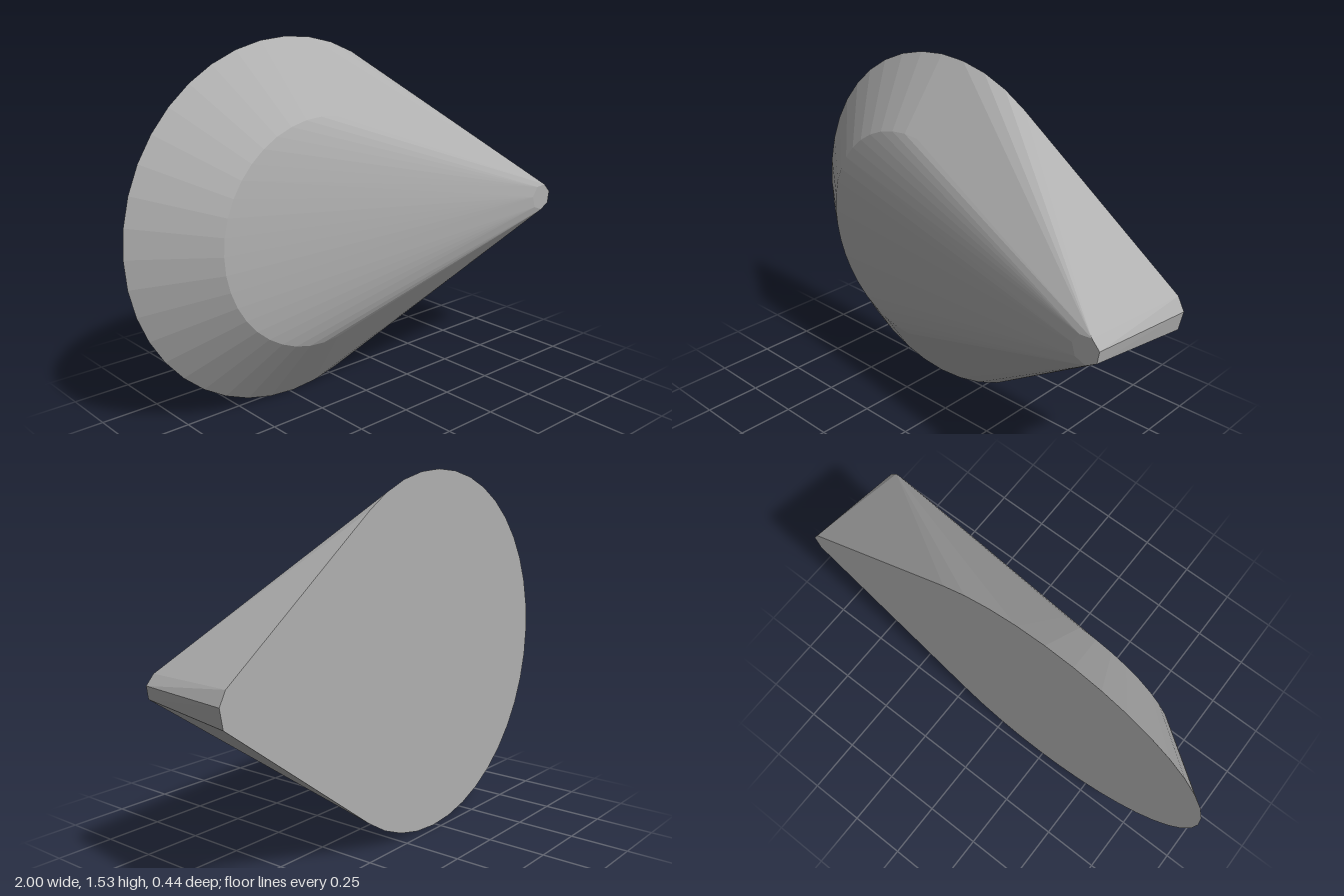
import * as THREE from 'three';
import { ConvexGeometry } from 'three/addons/geometries/ConvexGeometry.js';

// Points of a regular ring lying in a plane of constant z
function ring(cx, cy, z, radius, sides, phase = 0) {
  return Array.from({ length: sides }, (_, i) => {
    const a = phase + (i / sides) * Math.PI * 2;
    return new THREE.Vector3(cx + radius * Math.cos(a), cy + radius * Math.sin(a), z);
  });
}

export function createModel() {
  const group = new THREE.Group();
  group.name = 'wedge';
  const grey = new THREE.MeshStandardMaterial({ color: 0xb0b0b0 });
  grey.name = 'grey';

  const cy = 0.768;
  const points = [
    // wide round base, and the smaller shoulder in front of it
    ...ring(-0.234, cy, -0.22, 0.766, 40),
    ...ring(-0.234, cy, 0, 0.472, 40),
    // small seven-sided nose
    ...ring(0.885, cy, 0.22, 0.06, 7, (Math.PI * 2) / 21),
    // blunt end of the base below the nose
    ...[[0.97, 0.845], [1.0, 0.79], [0.985, 0.71]].map(([x, y]) => new THREE.Vector3(x, y, -0.22)),
  ];

  // One faceted skin stretched around all the rings
  const body = new THREE.Mesh(new ConvexGeometry(points), grey);
  body.name = 'body';
  group.add(body);
  return group;
}
